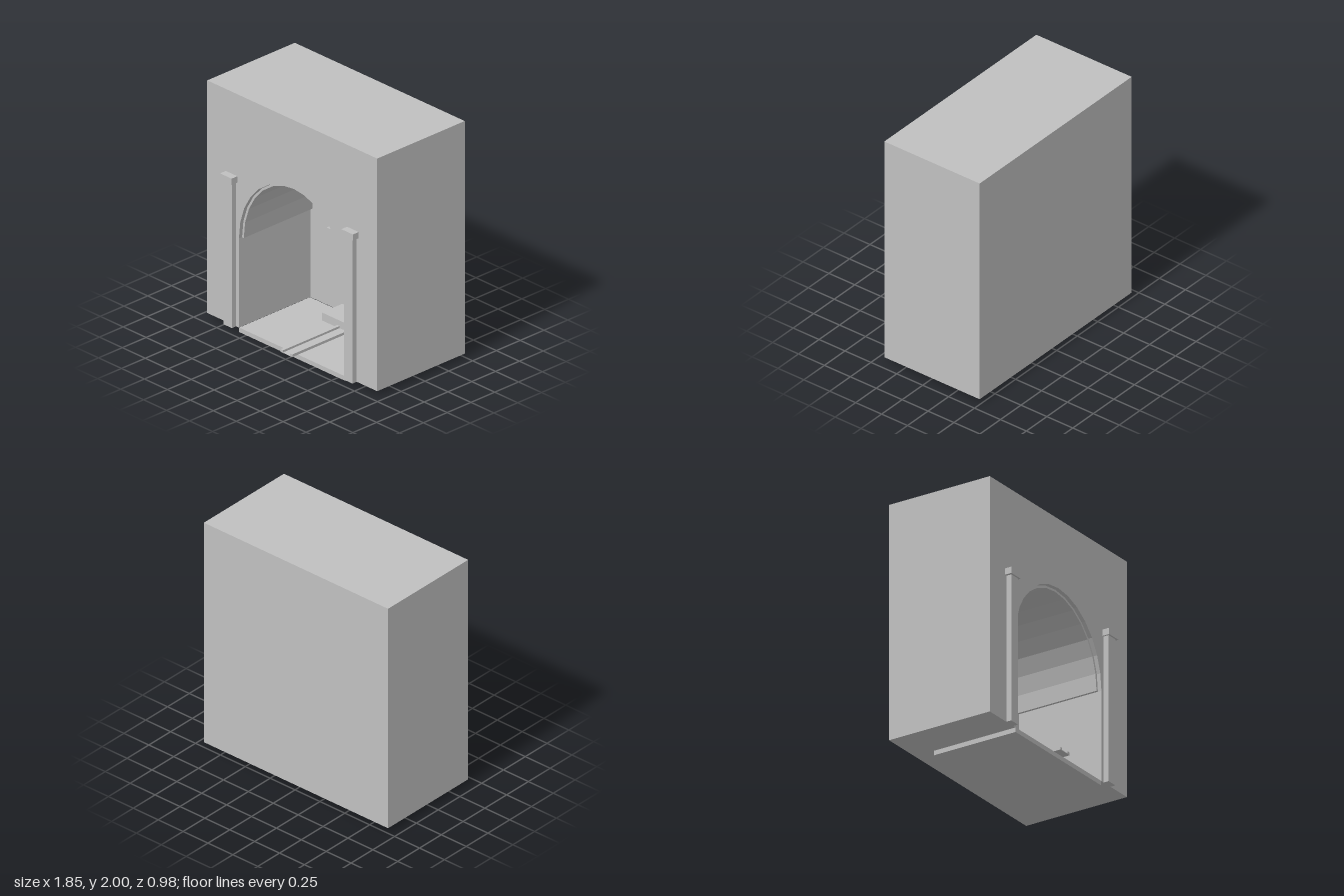
import * as THREE from 'three';

export function createModel() {
  const model = new THREE.Group();
  model.name = 'archedFireplace';
  const stone = new THREE.MeshStandardMaterial({ color: 0xc0c0c0 });
  stone.name = 'greyStone';

  const add = (name, geometry) => {
    const mesh = new THREE.Mesh(geometry, stone);
    mesh.name = name;
    model.add(mesh);
    return mesh;
  };
  // Box given by its lower and upper corners
  const box = (name, x0, x1, y0, y1, z0, z1) => {
    const g = new THREE.BoxGeometry(x1 - x0, y1 - y0, z1 - z0);
    g.translate((x0 + x1) / 2, (y0 + y1) / 2, (z0 + z1) / 2);
    return add(name, g);
  };
  const extrude = (name, points, z0, z1) => {
    const g = new THREE.ExtrudeGeometry(new THREE.Shape(points), { depth: z1 - z0, bevelEnabled: false });
    g.translate(0, 0, z0);
    return add(name, g);
  };
  // Half ellipse from the left spring point over to the right one
  const springY = 0.79;
  const arch = (rx, ry, segments = 14) => Array.from({ length: segments + 1 }, (_, i) => {
    const a = Math.PI * (1 - i / segments);
    return new THREE.Vector2(rx * Math.cos(a), springY + ry * Math.sin(a));
  });
  const v = (x, y) => new THREE.Vector2(x, y);

  const W = 0.925, base = 0.037, top = 2, front = 0.43, back = -0.32;

  // Main block: a notched front portion with a solid wall behind it
  extrude('surround', [
    v(-W, base), v(-0.58, base), ...arch(0.58, 0.632),
    v(0.58, base), v(W, base), v(W, top), v(-W, top),
  ], back, front);
  box('backWall', -W, W, base, top, -0.49, back);

  // Vault lining under the arch
  extrude('vaultLining', [...arch(0.577, 0.628), ...arch(0.558, 0.61).reverse()], back, 0.4);

  // Floor slab, raised block and the two rails running out from it
  box('floorSlab', -0.577, 0.577, 0, base + 0.001, -0.315, front);
  box('hearthBlock', -0.23, 0.23, base, 0.105, back, -0.105);
  box('railBed', -0.063, 0.063, base, 0.042, -0.105, 0.49);
  for (const s of [-1, 1]) {
    box('rail', s * 0.05 - 0.013, s * 0.05 + 0.013, base, 0.06, -0.105, 0.49);
  }

  // Panel on the back wall with ledges above and below
  box('wallPanel', -0.35, 0.35, 0.71, 1.15, back, -0.31);
  box('lowerLedge', -0.367, 0.367, 0.684, 0.71, back, -0.287);
  box('upperLedge', -0.367, 0.367, 1.15, 1.176, back, -0.287);

  // Pilasters and capitals on either side of the opening
  for (const s of [-1, 1]) {
    box('pilaster', s * 0.656 - 0.046, s * 0.656 + 0.046, base, 1.255, front, 0.475);
    box('capital', s * 0.66 - 0.063, s * 0.66 + 0.063, 1.255, 1.308, front, 0.49);
  }
  return model;
}
